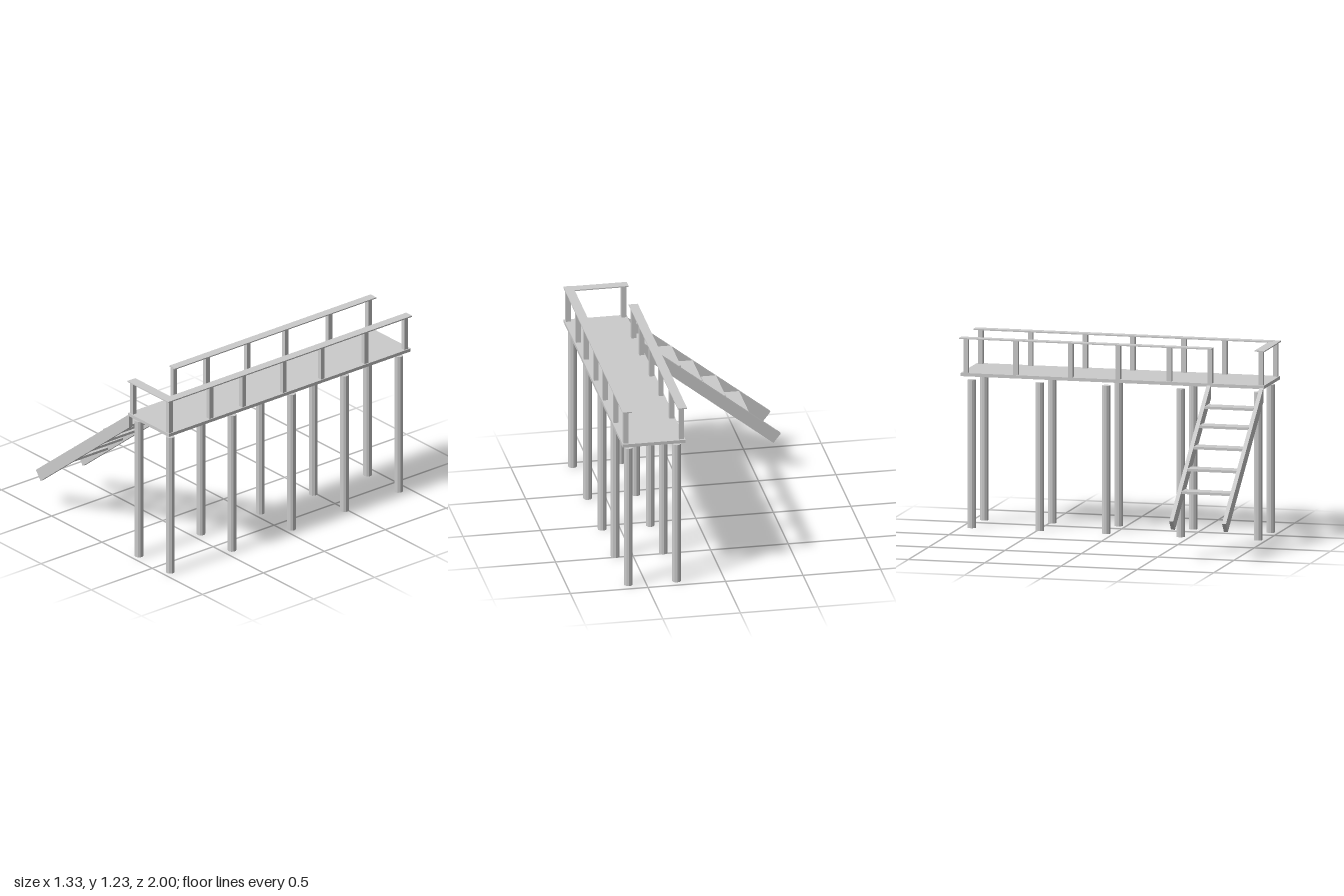
import * as THREE from 'three';

const material = new THREE.MeshStandardMaterial({ color: 0xcccccc, flatShading: true });

export function createModel() {
  const model = new THREE.Group();

  function add(name, geometry) {
    const mesh = new THREE.Mesh(geometry, material);
    mesh.name = name;
    model.add(mesh);
    return mesh;
  }

  // Box given by its extents on each axis
  function box(name, [x0, x1], [y0, y1], [z0, z1]) {
    add(name, new THREE.BoxGeometry(x1 - x0, y1 - y0, z1 - z0))
      .position.set((x0 + x1) / 2, (y0 + y1) / 2, (z0 + z1) / 2);
  }

  // Walkway
  box('deck', [0.255, 0.66], [0.977, 0.998], [-0.99, 0.995]);

  // Round piles under the deck, in two rows
  const pile = new THREE.CylinderGeometry(0.028, 0.028, 0.95, 10);
  for (const x of [0.303, 0.613]) {
    for (const z of [0.945, 0.438, -0.05, -0.485, -0.93]) {
      add('pile', pile).position.set(x, 0.475, z);
    }
  }

  // Railing posts on both sides
  for (const x of [0.278, 0.637]) {
    for (const z of [0.972, 0.64, 0.372, 0.037, -0.275, -0.633, -0.96]) {
      box('railPost', [x - 0.016, x + 0.016], [0.998, 1.218], [z - 0.015, z + 0.015]);
    }
  }

  // Handrails, leaving an opening at the stairs
  box('leftHandrail', [0.602, 0.662], [1.217, 1.225], [-1, 1]);
  box('rightHandrail', [0.248, 0.307], [1.216, 1.223], [-1, 0.652]);
  box('frontHandrail', [0.253, 0.602], [1.216, 1.223], [0.935, 1]);

  // Sloping stair stringers
  const profile = new THREE.Shape([
    [-0.667, 0.26], [-0.62, 0.2], [0.262, 0.897], [0.262, 0.99],
  ].map(([x, y]) => new THREE.Vector2(x, y)));
  const stringer = new THREE.ExtrudeGeometry(profile, { depth: 0.026, bevelEnabled: false });
  for (const z of [0.62, 0.966]) add('stairStringer', stringer).position.z = z;

  // Stair treads
  const treads = [[-0.417, 0.421], [-0.268, 0.543], [-0.117, 0.66], [0.02, 0.774], [0.155, 0.875]];
  for (const [x, top] of treads) {
    box('stairTread', [x - 0.048, x + 0.048], [top - 0.016, top], [0.645, 0.967]);
  }

  return model;
}
